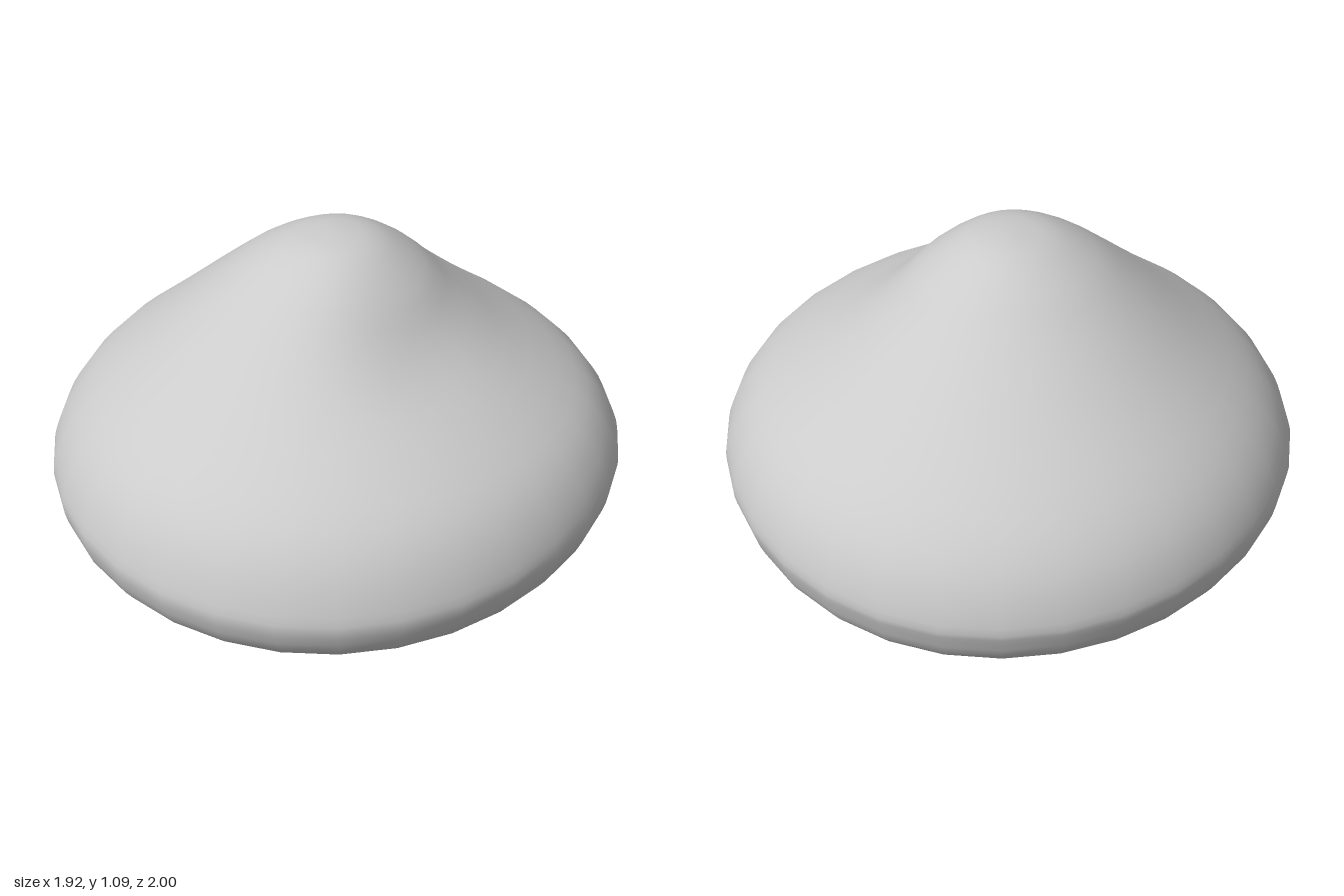
import * as THREE from 'three';
import { mergeVertices } from 'three/addons/utils/BufferGeometryUtils.js';

const SIDES = 32, ROWS = 39;

// Half-profiles [radius, height] from the underside to the peak, one per compass direction
const profiles = {
  left: [[0, 0.005], [0.4, 0.02], [0.6, 0.04], [0.78, 0.08], [0.9, 0.16], [0.955, 0.27], [0.955, 0.36],
    [0.9, 0.47], [0.8, 0.57], [0.57, 0.72], [0.4, 0.86], [0.29, 0.97], [0.14, 1.07], [0, 1.09]],
  right: [[0, 0.005], [0.35, 0.005], [0.57, 0.015], [0.78, 0.06], [0.91, 0.15], [0.955, 0.26], [0.95, 0.34],
    [0.9, 0.45], [0.8, 0.57], [0.6, 0.74], [0.4, 0.91], [0.28, 1.0], [0.14, 1.07], [0, 1.09]],
  front: [[0, 0.005], [0.4, 0.015], [0.62, 0.02], [0.8, 0.04], [0.94, 0.1], [0.995, 0.2], [0.995, 0.28],
    [0.94, 0.43], [0.83, 0.565], [0.6, 0.74], [0.4, 0.905], [0.28, 1.0], [0.14, 1.075], [0, 1.09]],
  back: [[0, 0.005], [0.4, 0.015], [0.62, 0.02], [0.8, 0.03], [0.94, 0.09], [0.99, 0.19], [1.0, 0.26],
    [0.95, 0.41], [0.83, 0.56], [0.6, 0.74], [0.4, 0.9], [0.28, 1.0], [0.14, 1.075], [0, 1.09]],
};

const curves = {};
for (const key in profiles) {
  curves[key] = new THREE.SplineCurve(profiles[key].map(([r, y]) => new THREE.Vector2(r, y)));
}

// Blend the two neighbouring profiles by angle (0 = left/+x, PI/2 = front/+z)
function surfacePoint(t, angle) {
  const c = Math.cos(angle), s = Math.sin(angle);
  const a = curves[c >= 0 ? 'left' : 'right'].getPoint(t);
  const b = curves[s >= 0 ? 'front' : 'back'].getPoint(t);
  const p = a.lerp(b, s * s);
  // Soft hollow below the peak on the front-left flank
  if (t > 0.5) {
    const turn = (angle - Math.PI / 4) / 0.6, reach = (p.x - 0.43) / 0.15;
    p.y -= 0.045 * Math.exp(-turn * turn - reach * reach);
  }
  const r = Math.max(0, p.x);
  return [r * c, Math.max(0, p.y), r * s];
}

function bodyGeometry() {
  const positions = [], index = [];
  // Single points close the bottom and the peak
  positions.push(...surfacePoint(0, 0));
  for (let i = 1; i < ROWS; i++) {
    for (let j = 0; j < SIDES; j++) {
      positions.push(...surfacePoint(i / ROWS, (j / SIDES) * Math.PI * 2));
    }
  }
  positions.push(...surfacePoint(1, 0));
  const top = positions.length / 3 - 1;
  const at = (i, j) => 1 + (i - 1) * SIDES + (j % SIDES);
  for (let j = 0; j < SIDES; j++) {
    index.push(0, at(1, j), at(1, j + 1));
    for (let i = 1; i < ROWS - 1; i++) {
      const a = at(i, j), b = at(i, j + 1), c = at(i + 1, j), d = at(i + 1, j + 1);
      index.push(a, c, b, b, c, d);
    }
    index.push(at(ROWS - 1, j), top, at(ROWS - 1, j + 1));
  }
  const geometry = new THREE.BufferGeometry();
  geometry.setAttribute('position', new THREE.Float32BufferAttribute(positions, 3));
  geometry.setIndex(index);
  const merged = mergeVertices(geometry, 1e-4);
  merged.computeVertexNormals();
  return merged;
}

export function createModel() {
  const model = new THREE.Group();
  model.name = 'roundedMound';
  const body = new THREE.Mesh(bodyGeometry(), new THREE.MeshStandardMaterial({ color: 0xcccccc }));
  body.name = 'moundBody';
  model.add(body);
  return model;
}
